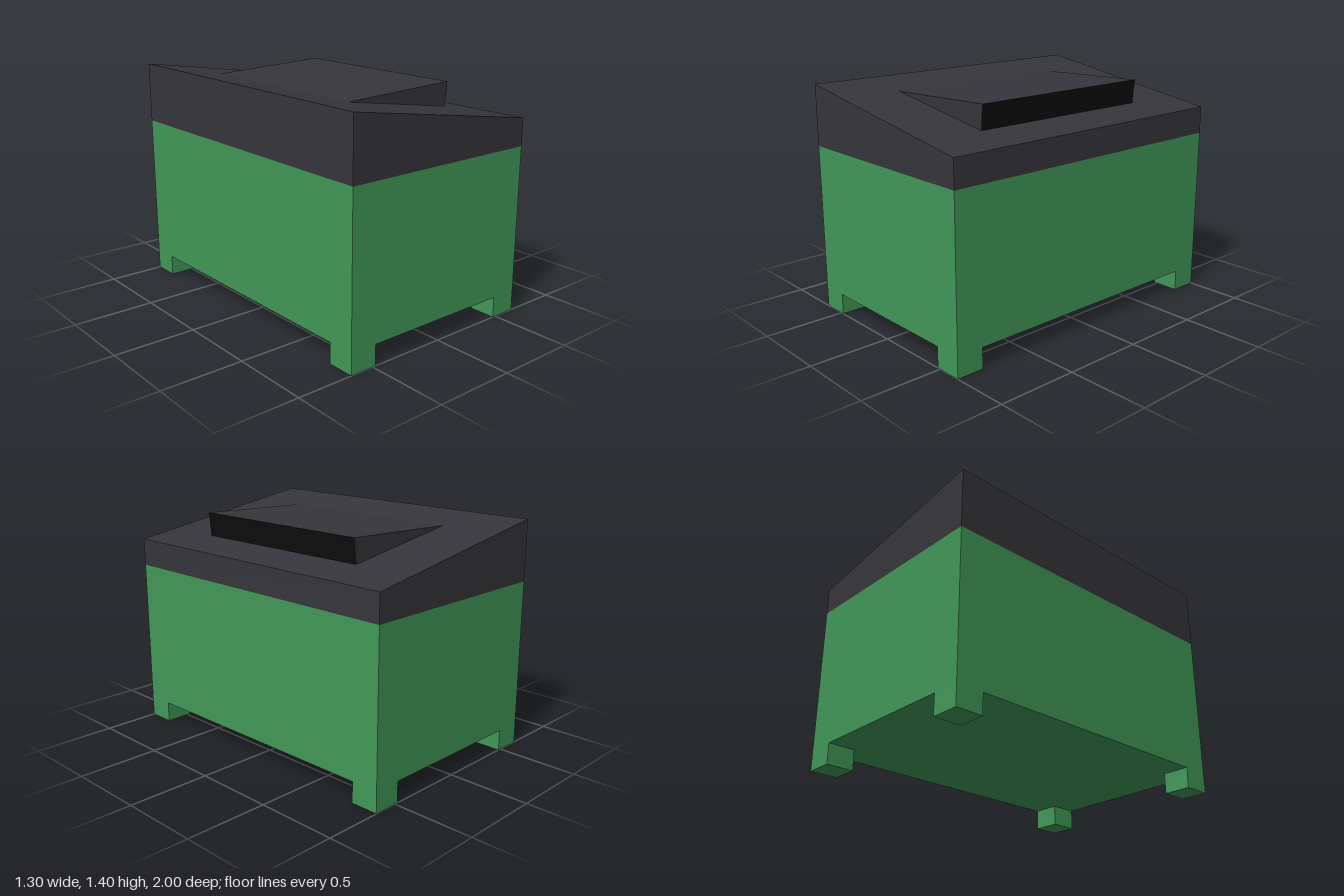
import * as THREE from 'three';

const green = new THREE.MeshStandardMaterial({ name: 'binGreen', color: 0x429858 });
const dark = new THREE.MeshStandardMaterial({ name: 'lidCharcoal', color: 0x36353b });
const black = new THREE.MeshStandardMaterial({ name: 'openingBlack', color: 0x0d0d0d });

export function createModel() {
  const model = new THREE.Group();
  model.name = 'storageBin';

  const add = (name, geometry, material, x = 0, y = 0, z = 0) => {
    const mesh = new THREE.Mesh(geometry, material);
    mesh.name = name;
    mesh.position.set(x, y, z);
    model.add(mesh);
    return mesh;
  };

  // Side outline in x/y, extruded along z and centred
  const prism = (points, depth) => {
    const shape = new THREE.Shape(points.map(([x, y]) => new THREE.Vector2(x, y)));
    return new THREE.ExtrudeGeometry(shape, { depth, bevelEnabled: false }).translate(0, 0, -depth / 2);
  };

  // Body and four corner feet
  const floor = 0.127, rim = 1.032, foot = 0.172;
  add('body', new THREE.BoxGeometry(1.304, rim - floor, 2), green, 0, (rim + floor) / 2, 0);
  for (const sx of [-1, 1]) {
    for (const sz of [-1, 1]) {
      add('foot', new THREE.BoxGeometry(foot, floor, foot), green,
        sx * (0.652 - foot / 2), floor / 2, sz * (1 - foot / 2));
    }
  }

  // Lid sloping down to +x
  add('lid', prism([[-0.652, rim], [0.652, rim], [0.652, 1.2], [-0.652, 1.405]], 2), dark);

  // Raised wedge hood, sunk slightly into the lid
  add('hood', prism([[-0.36, 1.357], [0.402, 1.21], [0.405, 1.239], [0.42, 1.386]], 1.23), dark);

  // Dark opening on the hood's leaning end
  const opening = new THREE.PlaneGeometry(1.23, 0.147).rotateY(Math.PI / 2);
  const plate = add('hoodOpening', opening, black, 0.4145, 1.3125, 0);
  plate.rotation.z = -Math.atan2(0.015, 0.147);

  return model;
}
